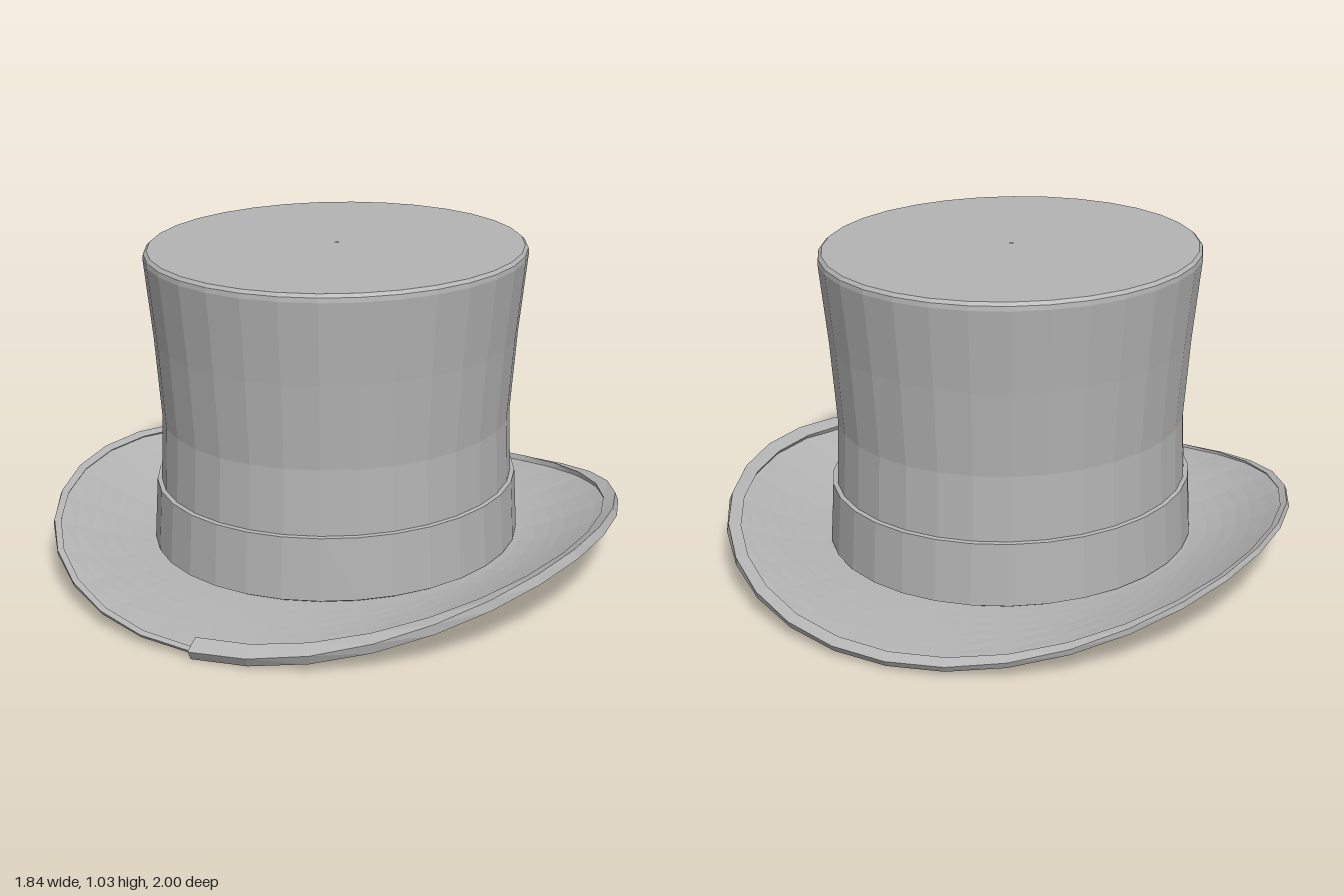
import * as THREE from 'three';

const SEG = 32;
const DEPTH = 1.08; // crown is slightly longer front to back

// Grid surface from a point function, u and v in 0..1
function loft(nu, nv, point) {
  const pos = [], idx = [];
  for (let i = 0; i <= nu; i++)
    for (let j = 0; j <= nv; j++) pos.push(...point(i / nu, j / nv));
  for (let i = 0; i < nu; i++)
    for (let j = 0; j < nv; j++) {
      const a = i * (nv + 1) + j, b = a + nv + 1;
      idx.push(a, a + 1, b, b, a + 1, b + 1);
    }
  const g = new THREE.BufferGeometry();
  g.setAttribute('position', new THREE.Float32BufferAttribute(pos, 3));
  g.setIndex(idx);
  g.computeVertexNormals();
  return g;
}

// Oval edge of the brim, swept up at the sides; angle 0 is the front
function brimEdge(a) {
  const s2 = Math.sin(a) ** 2;
  return { x: 0.895 * Math.sin(a), y: 0.035 + 0.16 * s2, z: 0.97 * Math.cos(a), slope: -0.6 + 1.2 * s2 };
}

export function createModel() {
  const hat = new THREE.Group();
  hat.name = 'topHat';
  const felt = new THREE.MeshStandardMaterial({ color: 0xb4b4b4 });
  felt.name = 'grey felt';
  felt.flatShading = true;
  felt.side = THREE.DoubleSide;

  const add = (name, geometry) => {
    const mesh = new THREE.Mesh(geometry, felt);
    mesh.name = name;
    hat.add(mesh);
    return mesh;
  };
  const turned = (name, profile) => {
    const g = new THREE.LatheGeometry(profile.map(([r, y]) => new THREE.Vector2(r, y)), SEG);
    g.scale(1, 1, DEPTH);
    g.translate(-0.005, 0, -0.005);
    return add(name, g);
  };

  // Waisted crown wall and flat top
  turned('crown', [[0.575, 0.06], [0.568, 0.27], [0.56, 0.48], [0.58, 0.75],
    [0.607, 1.01], [0.605, 1.025], [0.595, 1.035], [0.3, 1.037], [0.006, 1.038]]);

  // Hat band around the foot of the crown
  turned('hatBand', [[0.575, 0.06], [0.593, 0.07], [0.582, 0.27], [0.566, 0.272]]);

  // Brim: flat by the crown, curling towards the edge
  add('brim', loft(SEG, 7, (u, v) => {
    const a = u * Math.PI * 2, e = brimEdge(a);
    const x0 = 0.56 * Math.sin(a), z0 = 0.56 * DEPTH * Math.cos(a);
    return [
      THREE.MathUtils.lerp(x0, e.x, v),
      THREE.MathUtils.lerp(0.06, e.y, v ** 1.6),
      THREE.MathUtils.lerp(z0, e.z, v),
    ];
  }));

  // Edge binding: a tilted strip that tapers once round from the front
  const corners = [[-1, -1], [1, -1], [1, 1], [-1, 1], [-1, -1]];
  const bindingPoint = (u, k) => {
    const a = u * Math.PI * 2, e = brimEdge(a);
    const size = 1 - 0.7 * u;
    const tilt = Math.atan(e.slope);
    const w = corners[k][0] * 0.027 * size, h = corners[k][1] * 0.018 * size;
    const out = w * Math.cos(tilt) - h * Math.sin(tilt) + 0.012 * u;
    const up = w * Math.sin(tilt) + h * Math.cos(tilt);
    return [e.x + out * Math.sin(a), e.y + up, e.z + out * Math.cos(a)];
  };
  add('brimBinding', loft(SEG, 4, (u, v) => bindingPoint(u, Math.round(v * 4))));

  // Closed ends of the binding at the front
  for (const u of [0, 1])
    add('bindingEnd', loft(1, 1, (s, t) => bindingPoint(u, s ? (t ? 2 : 1) : (t ? 3 : 0))));

  return hat;
}
